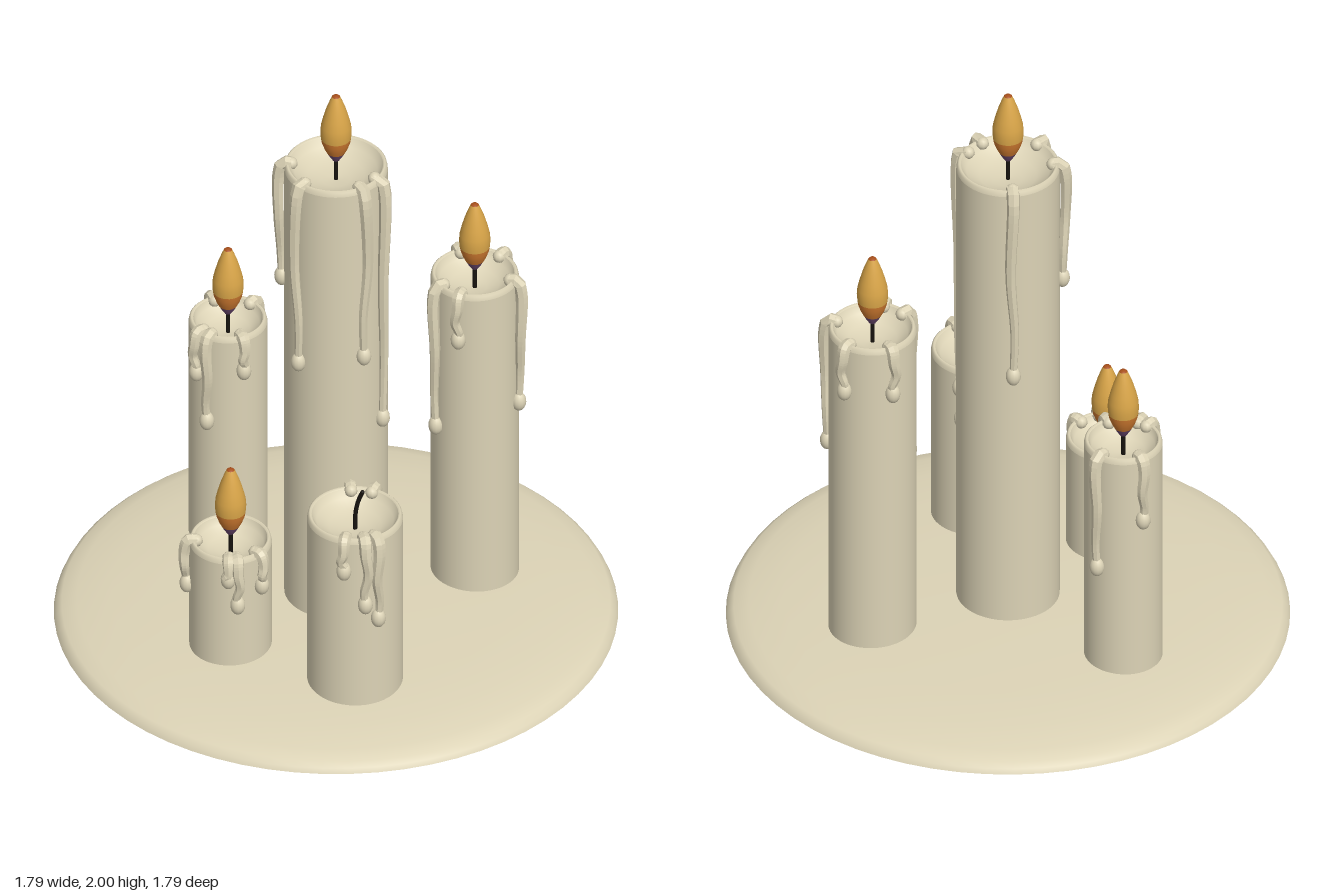
import * as THREE from 'three';

const mat = (name, color) => {
  const m = new THREE.MeshStandardMaterial({ color });
  m.name = name;
  return m;
};
const wax = mat('wax', 0xdcd3b6);
const wickBlack = mat('wickBlack', 0x17130f);
const flameAmber = mat('flameAmber', 0xd9a548);
const flameOrange = mat('flameOrange', 0xcf7a30);
const flameViolet = mat('flameViolet', 0x6d4a72);
const flameTip = mat('flameTip', 0xa8501c);

const V = (x, y, z) => new THREE.Vector3(x, y, z);

function add(parent, name, geometry, material) {
  const mesh = new THREE.Mesh(geometry, material);
  mesh.name = name;
  parent.add(mesh);
  return mesh;
}

// Surface of revolution from [radius, height] pairs listed bottom to top
const lathe = (pts, segments) =>
  new THREE.LatheGeometry(pts.map(([r, y]) => new THREE.Vector2(r, y)), segments);

// Candle: x, z, radius, top height, lit, drips as [direction x, direction z, lowest y]
const candles = [
  { name: 'tallCandle', x: 0, z: 0, r: 0.164, top: 1.74, lit: true, drips: [
    [-0.03, -0.17, 1.0], [-0.17, 0.015, 1.26], [-0.1, 0.14, 1.02], [0.11, 0.135, 1.06], [0.165, 0.07, 0.78]] },
  { name: 'rightBackCandle', x: 0.415, z: -0.195, r: 0.14, top: 1.225, lit: true, drips: [
    [0.08, -0.125, 1.02], [-0.07, -0.12, 1.02], [0.15, 0.03, 0.72], [-0.1, 0.09, 0.65], [-0.03, 0.135, 1.02]] },
  { name: 'leftBackCandle', x: -0.388, z: -0.29, r: 0.125, top: 0.9, lit: true, drips: [
    [-0.07, -0.11, 0.63], [0.075, -0.11, 0.44], [-0.085, 0.1, 0.71], [-0.05, 0.125, 0.54], [0.065, 0.11, 0.74]] },
  { name: 'shortCandle', x: -0.29, z: 0.32, r: 0.131, top: 0.485, lit: true, drips: [
    [-0.045, -0.135, 0.28], [-0.13, 0.035, 0.28], [0.012, 0.13, 0.38], [0.04, 0.125, 0.28], [0.115, 0.085, 0.33]] },
  { name: 'unlitCandle', x: 0.127, z: 0.45, r: 0.152, top: 0.712, lit: false, drips: [
    [-0.04, -0.16, 0.56], [0.045, -0.16, 0.5], [-0.012, 0.155, 0.56], [0.055, 0.15, 0.43], [0.09, 0.125, 0.37]] },
];

// Tapered run of wax over the rim, ending in a bead
function addDrip(parent, r, top, [dx, dz, end], i) {
  const group = new THREE.Group();
  group.name = 'waxDrip';
  parent.add(group);
  const a0 = Math.atan2(dx, dz);
  const beadY = end + 0.034;
  const at = (radius, y, twist = 0) =>
    V(Math.sin(a0 + twist) * radius, y, Math.cos(a0 + twist) * radius);
  const w = i % 2 ? 0.05 : -0.05;
  const span = top - 0.05 - beadY;
  const path = new THREE.CatmullRomCurve3([
    at(r - 0.022, top - 0.008),
    at(r + 0.004, top - 0.006),
    at(r + 0.017, top - 0.05),
    at(r + 0.017, top - 0.05 - span * 0.4, w),
    at(r + 0.011, top - 0.05 - span * 0.75, -w * 0.5),
    at(r + 0.008, beadY),
  ]);
  const rings = 24, sides = 7;
  const tube = new THREE.TubeGeometry(path, rings, 0.022, sides);
  const pos = tube.attributes.position, p = V(0, 0, 0);
  for (let k = 0; k < pos.count; k++) {
    const t = Math.floor(k / (sides + 1)) / rings;
    const c = path.getPointAt(t);
    p.fromBufferAttribute(pos, k).sub(c).multiplyScalar(1 - 0.45 * t).add(c);
    pos.setXYZ(k, p.x, p.y, p.z);
  }
  const faceted = tube.toNonIndexed();
  faceted.computeVertexNormals();
  add(group, 'dripRun', faceted, wax);

  const start = add(group, 'dripStart', new THREE.SphereGeometry(0.021, 10, 8), wax);
  start.position.copy(path.getPoint(0));
  const bead = add(group, 'dripBead', new THREE.SphereGeometry(0.024, 14, 10), wax);
  bead.scale.y = 1.4;
  bead.position.copy(path.getPoint(1));
}

// Flame in stacked colour bands
function addFlame(parent, top) {
  const flame = new THREE.Group();
  flame.name = 'flame';
  flame.position.y = top;
  parent.add(flame);
  const band = (name, pts, m) => add(flame, name, lathe(pts, 24), m);
  band('flameBase', [[0, 0.008], [0.01, 0.01], [0.021, 0.027], [0.029, 0.042]], flameViolet);
  band('flameLower', [[0.029, 0.042], [0.038, 0.06], [0.045, 0.08], [0.048, 0.097]], flameOrange);
  band('flameUpper', [[0.048, 0.097], [0.05, 0.12], [0.048, 0.145], [0.041, 0.175],
    [0.031, 0.21], [0.02, 0.24], [0.013, 0.256]], flameAmber);
  band('flamePoint', [[0.013, 0.256], [0.009, 0.26], [0, 0.261]], flameTip);
}

function addCandle(parent, { name, x, z, r, top, lit, drips }) {
  const g = new THREE.Group();
  g.name = name;
  g.position.set(x, 0, z);
  parent.add(g);

  // Pillar wall, then the thin rounded rim and the melted hollow
  add(g, 'pillar', lathe([[r, 0.04], [r, top - 0.02]], 48), wax);
  add(g, 'rim', lathe([[r, top - 0.02], [r - 0.003, top - 0.006], [r - 0.009, top],
    [r - 0.015, top - 0.005]], 48), wax);
  add(g, 'meltedHollow', lathe([[r - 0.015, top - 0.005], [r * 0.8, top - 0.03],
    [r * 0.55, top - 0.05], [r * 0.28, top - 0.061], [0, top - 0.064]], 48), wax);

  // Wick: straight under a flame, bent when unlit
  const wickPath = lit
    ? new THREE.LineCurve3(V(0, top - 0.07, 0), V(0, top + 0.03, 0))
    : new THREE.CatmullRomCurve3([V(0, top - 0.07, 0), V(0.002, top, 0),
      V(0.012, top + 0.05, 0), V(0.024, top + 0.08, 0)]);
  add(g, 'wick', new THREE.TubeGeometry(wickPath, 10, 0.007, 8), wickBlack);
  if (lit) addFlame(g, top);
  else add(g, 'wickEnd', new THREE.SphereGeometry(0.0072, 8, 6), wickBlack)
    .position.copy(wickPath.getPoint(1));

  drips.forEach((d, i) => addDrip(g, r, top, d, i));
}

export function createModel() {
  const model = new THREE.Group();
  model.name = 'candleCluster';

  // Shallow domed wax plate with a flat underside
  add(model, 'plate', lathe([[0.893, 0], [0.885, 0.016], [0.868, 0.031], [0.82, 0.045], [0.71, 0.063],
    [0.55, 0.073], [0.35, 0.08], [0.15, 0.084], [0, 0.085]], 64), wax);
  add(model, 'plateUnderside', new THREE.CircleGeometry(0.893, 64).rotateX(Math.PI / 2), wax);

  candles.forEach((c) => addCandle(model, c));
  return model;
}
